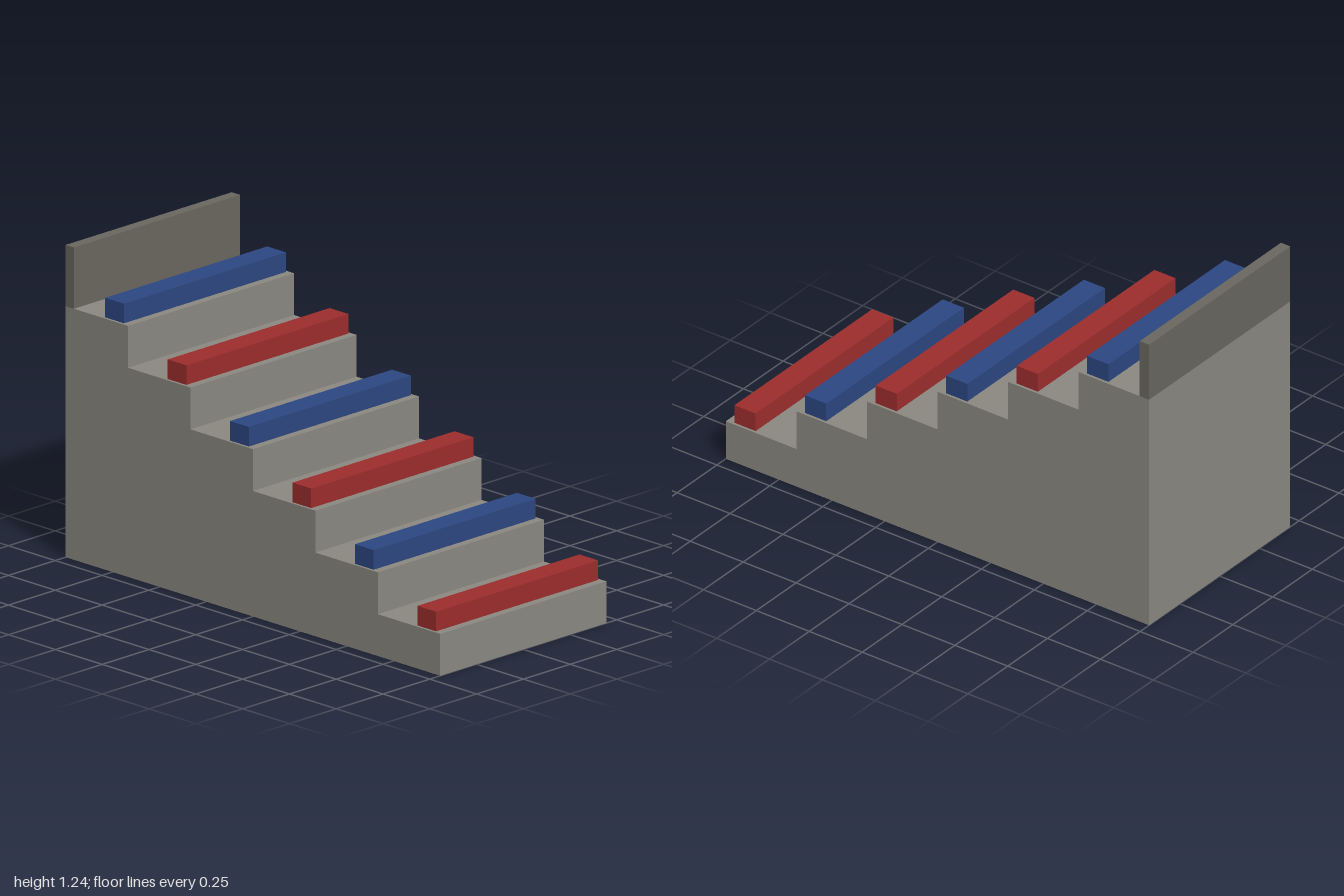
import * as THREE from 'three';

const STEPS = 6, RUN = 1 / 3, RISE = 1 / 6, WIDTH = 0.888;

function material(name, color) {
  const m = new THREE.MeshStandardMaterial({ color });
  m.name = name;
  return m;
}

export function createModel() {
  const group = new THREE.Group();
  group.name = 'grandstand';
  const concrete = material('concrete', 0x8b8981);
  const darkConcrete = material('dark concrete', 0x69675f);
  const red = material('red bench', 0x9e2d2d);
  const blue = material('blue bench', 0x2c4782);

  const add = (name, geometry, mat, y = 0, z = 0) => {
    const mesh = new THREE.Mesh(geometry, mat);
    mesh.name = name;
    mesh.position.set(0, y, z);
    group.add(mesh);
    return mesh;
  };

  // Solid terraces: stepped side profile (shape x = -z), extruded across the width
  const profile = new THREE.Shape();
  profile.moveTo(-1, 0);
  profile.lineTo(1, 0);
  profile.lineTo(1, STEPS * RISE);
  for (let i = STEPS - 1; i >= 0; i--) {
    profile.lineTo(-1 + i * RUN, (i + 1) * RISE);
    if (i > 0) profile.lineTo(-1 + i * RUN, i * RISE);
  }
  profile.closePath();
  const terraces = new THREE.ExtrudeGeometry(profile, { depth: WIDTH, bevelEnabled: false });
  terraces.translate(0, 0, -WIDTH / 2).rotateY(Math.PI / 2);
  add('terraces', terraces, concrete);

  // One bench near the front edge of each terrace, alternating colours
  const benchHeight = 0.078, benchDepth = 0.1;
  const bench = new THREE.BoxGeometry(0.866, benchHeight, benchDepth);
  for (let i = 0; i < STEPS; i++) {
    add(`bench${i + 1}`, bench, i % 2 ? blue : red,
      (i + 1) * RISE + benchHeight / 2, 0.917 - i * RUN);
  }

  // Wall along the back of the top terrace
  add('backWall', new THREE.BoxGeometry(WIDTH, 0.244, 0.044), darkConcrete, 1.122, -0.978);

  return group;
}
